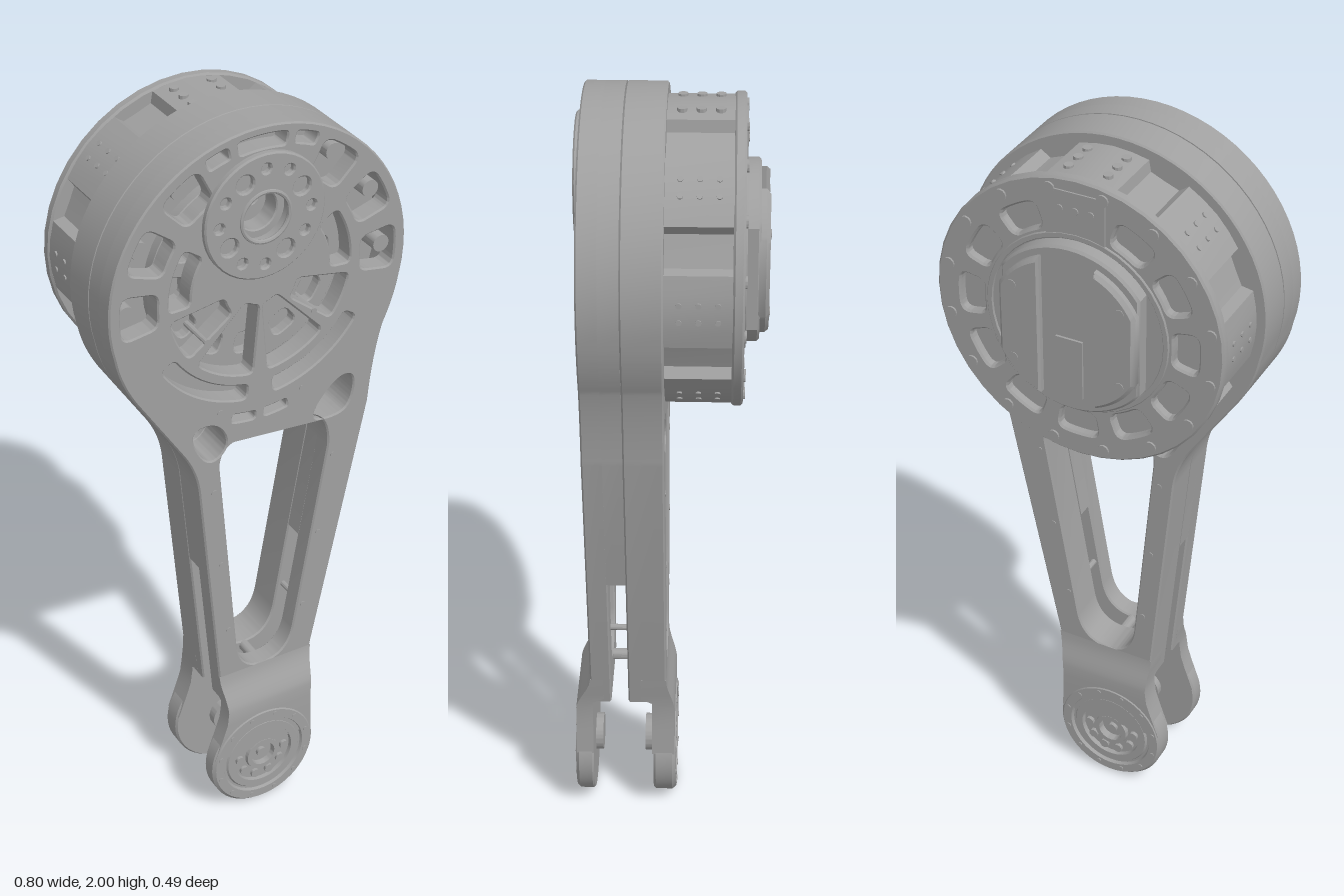
import * as THREE from 'three';
import { toCreasedNormals } from 'three/addons/utils/BufferGeometryUtils.js';

const AXIS_Y = 1.6;   // main joint centre
const HUB_Y = 1.78;   // offset output hub
const FOOT_Y = 0.155; // lower joint centre
const RAD = Math.PI / 180;

export function createModel() {
  const root = new THREE.Group();
  const metal = new THREE.MeshStandardMaterial({ color: 0xa0a0a0 });
  metal.name = 'grey metal';

  const group = (name, parent = root) => {
    const g = new THREE.Group();
    g.name = name;
    parent.add(g);
    return g;
  };
  const add = (name, geo, parent = root) => {
    const m = new THREE.Mesh(toCreasedNormals(geo, 0.55), metal);
    m.name = name;
    parent.add(m);
    return m;
  };
  // flat shape extruded from z0 to z1
  const slab = (name, shape, z0, z1, bevel = 0, parent = root) => {
    const geo = new THREE.ExtrudeGeometry(shape, {
      depth: z1 - z0 - 2 * bevel, curveSegments: 20, bevelEnabled: bevel > 0,
      bevelThickness: bevel, bevelSize: bevel, bevelOffset: -bevel, bevelSegments: 1,
    });
    geo.translate(0, 0, z0 + bevel);
    return add(name, geo, parent);
  };
  // cylinder along z
  const pin = (name, r, z0, z1, x, y, parent = root, sides = 16) => {
    const geo = new THREE.CylinderGeometry(r, r, z1 - z0, sides).rotateX(Math.PI / 2);
    const m = add(name, geo, parent);
    m.position.set(x, y, (z0 + z1) / 2);
    return m;
  };
  const pinRing = (name, n, ring, r, z0, z1, y, parent, phase = 0) => {
    for (let i = 0; i < n; i++) {
      const a = phase + (i / n) * Math.PI * 2;
      pin(name, r, z0, z1, Math.cos(a) * ring, y + Math.sin(a) * ring, parent, 12);
    }
  };
  const circle = (x, y, r, Type = THREE.Path) => new Type().absarc(x, y, r, 0, Math.PI * 2);
  // ring sector with rounded corners, angles in degrees
  const sector = (r0, r1, d0, d1, k = 0.015) => {
    const a0 = d0 * RAD, a1 = d1 * RAD, p = new THREE.Path();
    const P = (r, a) => [Math.cos(a) * r, AXIS_Y + Math.sin(a) * r];
    p.moveTo(...P(r1, a0 + k / r1));
    p.absarc(0, AXIS_Y, r1, a0 + k / r1, a1 - k / r1);
    p.quadraticCurveTo(...P(r1, a1), ...P(r1 - k, a1));
    p.lineTo(...P(r0 + k, a1));
    p.quadraticCurveTo(...P(r0, a1), ...P(r0, a1 - k / r0));
    p.absarc(0, AXIS_Y, r0, a1 - k / r0, a0 + k / r0, true);
    p.quadraticCurveTo(...P(r0, a0), ...P(r0 + k, a0));
    p.lineTo(...P(r1 - k, a0));
    p.quadraticCurveTo(...P(r1, a0), ...P(r1, a0 + k / r1));
    return p;
  };
  // polygon whose corners are rounded between edge midpoints
  const blob = (pts) => {
    const p = new THREE.Path(), n = pts.length;
    const mid = (i) => [0, 1].map((c) => (pts[i % n][c] + pts[(i + 1) % n][c]) / 2);
    p.moveTo(...mid(0));
    for (let i = 1; i <= n; i++) p.quadraticCurveTo(...pts[i % n], ...mid(i));
    return p;
  };

  // ---- leg shell: round head, tapering twin arms ----
  const windowTop = (p) => p.lineTo(-0.11, 1.1)
    .quadraticCurveTo(-0.115, 1.17, -0.04, 1.178).lineTo(0.12, 1.183)
    .quadraticCurveTo(0.205, 1.18, 0.2, 1.07);
  const outline = (forked) => {
    const s = new THREE.Shape();
    if (forked) {
      s.moveTo(-0.143, 0.78).lineTo(-0.082, 0.78);
      windowTop(s).lineTo(0.151, 0.78).lineTo(0.235, 0.78);
    } else s.moveTo(-0.105, 0.36).lineTo(0.149, 0.36);
    s.lineTo(0.315, 1.17).quadraticCurveTo(0.325, 1.3, 0.35, 1.385);
    s.quadraticCurveTo(0.38, 1.45, 0.391, 1.517);
    s.absarc(0, AXIS_Y, 0.4, -12 * RAD, 195 * RAD);
    s.quadraticCurveTo(-0.375, 1.43, -0.335, 1.365).lineTo(-0.215, 1.18);
    s.quadraticCurveTo(-0.175, 1.12, -0.168, 1.05);
    s.closePath();
    if (!forked) {
      const w = new THREE.Path().moveTo(-0.06, 0.53);
      windowTop(w).lineTo(0.11, 0.53).quadraticCurveTo(0.095, 0.44, 0.02, 0.44);
      w.quadraticCurveTo(-0.05, 0.44, -0.06, 0.53);
      s.holes.push(w);
    }
    s.holes.push(blob([[-0.2, 1.235], [-0.12, 1.245], [-0.08, 1.17], [-0.145, 1.12]]),
      blob([[0.14, 1.17], [0.22, 1.27], [0.275, 1.265], [0.26, 1.17], [0.2, 1.155]]));
    return s;
  };
  const shell = group('legShell');
  slab('backShell', outline(false), 0, 0.1, 0.004, shell);
  const middle = outline(true);
  middle.holes.push(circle(0, AXIS_Y, 0.378));
  slab('middleWall', middle, 0.1, 0.15, 0, shell);
  const front = outline(false);
  front.holes.push(circle(0, HUB_Y, 0.07), sector(0.345, 0.378, 80, 100, 0.01));
  for (const mirror of [0, 1]) {
    const cut = (r0, r1, a, b, k) => front.holes.push(
      mirror ? sector(r0, r1, 180 - b, 180 - a, k) : sector(r0, r1, a, b, k));
    for (const c of [180, 153, 126]) cut(0.275, 0.37, c - 9, c + 9, 0.025); // rim pockets
    cut(0.35, 0.378, 104, 113, 0.008);
    cut(0.19, 0.245, 146, 183);    // windows between spokes
    cut(0.1, 0.245, 190, 218);
    cut(0.06, 0.245, 226, 265);
    cut(0.275, 0.315, 212, 263);   // lower arc slots
    cut(0.355, 0.377, 258, 268, 0.008);
  }
  slab('frontPlate', front, 0.145, 0.2, 0.004, shell);
  pin('armSpacer', 0.015, 0.09, 0.16, 0.02, 0.425, shell);

  // small screws along the arms
  const screws = group('armScrews');
  for (const [x, y] of [[-0.127, 1.04], [-0.106, 0.81], [-0.085, 0.59], [0.217, 1.04], [0.18, 0.81],
    [0.138, 0.59], [-0.147, 1.48], [0.147, 1.48], [-0.11, 1.27], [0.12, 1.27]]) {
    pin('armScrew', 0.008, -0.002, 0.202, x, y, screws, 10);
  }

  // ---- parts seen through the front plate ----
  const inside = group('innerRotor');
  const rotor = circle(0, AXIS_Y, 0.262, THREE.Shape);
  for (let i = 0; i < 12; i++) rotor.holes.push(sector(0.17, 0.225, i * 30 - 9, i * 30 + 9, 0.02));
  slab('rotorDisc', rotor, 0.098, 0.13, 0.003, inside);
  pin('rotorCore', 0.1, 0.1, 0.14, 0, AXIS_Y, inside, 32);
  const bearing = circle(0, HUB_Y, 0.1, THREE.Shape);
  bearing.holes.push(circle(0, HUB_Y, 0.05));
  slab('hubBearing', bearing, 0.1, 0.18, 0.003, inside);
  for (const a of [0, 27, 54, 126, 153, 180]) {
    pin('pocketBoss', 0.022, 0.1, 0.18, Math.cos(a * RAD) * 0.345, AXIS_Y + Math.sin(a * RAD) * 0.345, inside);
  }

  // ---- front output hub ----
  const hub = group('outputHub');
  const hubShape = circle(0, HUB_Y, 0.16, THREE.Shape);
  hubShape.holes.push(circle(0, HUB_Y, 0.065));
  for (let i = 0; i < 12; i++) {
    const a = i * 30 * RAD, big = i % 3 === 1;
    const r = big ? 0.11 : 0.122;
    hubShape.holes.push(circle(Math.cos(a) * r, HUB_Y + Math.sin(a) * r, big ? 0.022 : 0.012));
  }
  slab('hubDisc', hubShape, 0.198, 0.217, 0.004, hub);
  add('hubCollar', new THREE.TorusGeometry(0.064, 0.006, 8, 40), hub).position.set(0, HUB_Y, 0.215);

  // ---- motor on the back ----
  const motor = group('motor');
  const housing = [];
  for (let k = 0; k < 8; k++) {
    for (const [d, r] of [[-14, 0.372], [-7, 0.373], [0, 0.374], [7, 0.373], [14, 0.372],
      [16, 0.345], [22.5, 0.342], [29, 0.345]]) {
      const a = (k * 45 + d) * RAD;
      housing.push(new THREE.Vector2(Math.cos(a) * r, AXIS_Y + Math.sin(a) * r));
    }
  }
  slab('ribbedHousing', new THREE.Shape(housing), -0.16, 0.002, 0, motor);
  for (let k = 0; k < 8; k++) {
    const panel = group('panelScrews', motor);
    panel.position.y = AXIS_Y;
    panel.rotation.z = k * 45 * RAD;
    const [gap, r] = k === 0 ? [0.05, 0.012] : [0.021, 0.007];
    for (const x of [-gap, gap]) for (const z of [-0.125, -0.08, -0.035]) {
      add('panelScrew', new THREE.CylinderGeometry(r, r, 0.02, 10), panel).position.set(x, 0.366, z);
    }
  }
  const flange = circle(0, AXIS_Y, 0.378, THREE.Shape);
  for (let i = 0; i < 12; i++) {
    if (i !== 3) flange.holes.push(sector(0.25, 0.315, i * 30 - 10, i * 30 + 10, 0.022));
  }
  slab('rearFlange', flange, -0.186, -0.158, 0.005, motor);
  pinRing('flangeScrew', 16, 0.35, 0.015, -0.191, -0.17, AXIS_Y, motor, 11.25 * RAD);
  const lip = circle(0, AXIS_Y, 0.24, THREE.Shape);
  lip.holes.push(circle(0, AXIS_Y, 0.225));
  slab('flangeLip', lip, -0.191, -0.18, 0.002, motor);
  add('connectorPanel', new THREE.BoxGeometry(0.15, 0.12, 0.012), motor).position.set(0, 1.885, -0.184);
  for (const x of [-0.04, 0, 0.04]) pin('connectorPin', 0.009, -0.193, -0.185, x, 1.9, motor, 10);

  // rear cap: disc with flat sides, two raised lobes and a channel between
  const clippedDisc = (r, x0, x1) => {
    const pts = [], t0 = Math.acos(x1 / r), t1 = Math.acos(x0 / r);
    for (const s of [1, -1]) for (let i = 0; i <= 20; i++) {
      const t = s * (s > 0 ? t0 + (t1 - t0) * i / 20 : t1 + (t0 - t1) * i / 20);
      pts.push(new THREE.Vector2(r * Math.cos(t), AXIS_Y + r * Math.sin(t)));
    }
    return new THREE.Shape(pts);
  };
  const cap = group('rearCap');
  slab('capBase', clippedDisc(0.222, -0.18, 0.18), -0.223, -0.18, 0.006, cap);
  slab('capLobe', clippedDisc(0.2, 0.072, 0.178), -0.245, -0.21, 0.009, cap);
  slab('capLobe', clippedDisc(0.2, -0.178, -0.072), -0.245, -0.21, 0.009, cap);
  add('channelRidge', new THREE.BoxGeometry(0.07, 0.16, 0.01), cap).position.set(0, 1.5, -0.224);
  for (const x of [-0.14, 0.14]) for (const y of [1.5, 1.7]) pin('capScrew', 0.012, -0.247, -0.23, x, y, cap, 12);

  // ---- lower fork: shoulders flare outward into two round joints ----
  const rows = [[0.19, -0.148, 0.15], [0.26, -0.123, 0.147], [0.3, -0.11, 0.146], [0.34, -0.105, 0.148],
    [0.355, -0.105, 0.15], [0.37, -0.106, 0.152], [0.385, -0.107, 0.155], [0.4, -0.109, 0.158],
    [0.42, -0.111, 0.162], [0.44, -0.112, 0.1655]];
  const shoulder = (name, flared, flush, inner) => {
    const n = rows.length - 1;
    const geo = new THREE.BoxGeometry(1, 1, 1, 1, n, 1), p = geo.attributes.position;
    const frontSide = flared > inner;
    for (let i = 0; i < p.count; i++) {
      const [y, xl, xr] = rows[Math.round((p.getY(i) + 0.5) * n)];
      const outer = THREE.MathUtils.lerp(flared, flush, THREE.MathUtils.smoothstep(y, 0.33, 0.44));
      const isOuter = (p.getZ(i) > 0) === frontSide;
      const inZ = y > 0.36 ? inner + (frontSide ? -0.03 : 0.03) : inner;
      p.setXYZ(i, p.getX(i) > 0 ? xr : xl, y, isOuter ? outer : inZ);
    }
    add(name, geo);
  };
  shoulder('frontForkTine', 0.24, 0.2, 0.195);
  shoulder('backForkTine', -0.022, 0, 0.038);

  const jointProfile = [[0, -0.02], [0.05, -0.02], [0.05, 0], [0.15, 0], [0.155, 0.005], [0.155, 0.04],
    [0.147, 0.048], [0.122, 0.048], [0.118, 0.041], [0.112, 0.041], [0.108, 0.046], [0.088, 0.046],
    [0.086, 0.036], [0.05, 0.036], [0.048, 0.046], [0.035, 0.046], [0.033, 0.03], [0, 0.03]];
  for (const isFront of [true, false]) {
    const joint = group(isFront ? 'frontJoint' : 'backJoint');
    const pts = jointProfile.map(([r, h]) => new THREE.Vector2(r, h));
    add('jointDisc', new THREE.LatheGeometry(pts, 56).rotateX(Math.PI / 2), joint);
    pinRing('bearingPin', 10, 0.068, 0.013, 0.03, 0.044, 0, joint);
    pinRing('jointScrew', 12, 0.135, 0.007, 0.04, 0.05, 0, joint, 15 * RAD);
    pin('axleTip', 0.014, 0.02, 0.04, 0, 0, joint);
    joint.position.set(0, FOOT_Y, isFront ? 0.195 : 0.035);
    if (!isFront) {
      joint.rotation.y = Math.PI;
      joint.scale.z = 1.25;
    }
  }
  return root;
}
